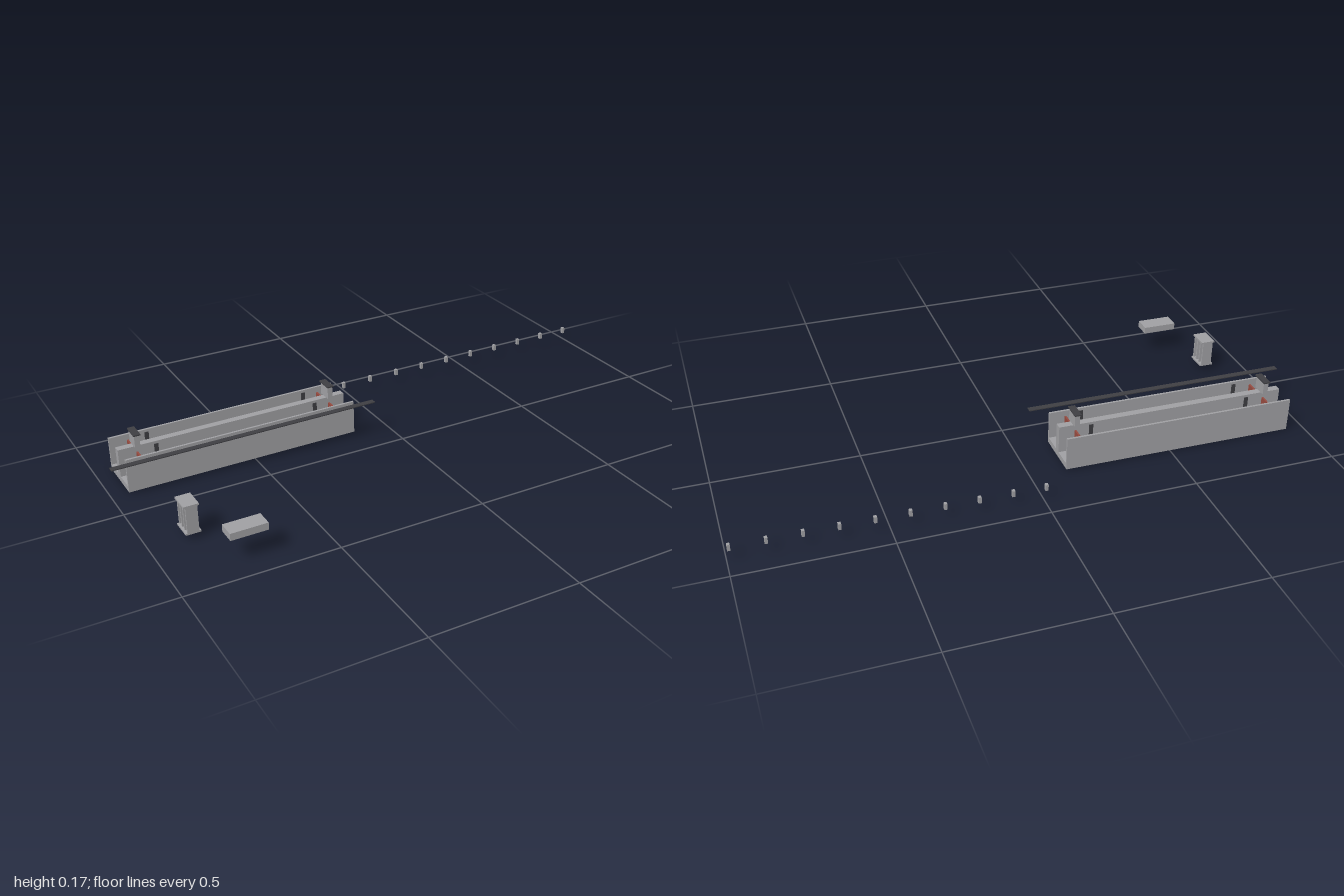
import * as THREE from 'three';

const material = (name, color) => {
  const m = new THREE.MeshStandardMaterial({ color });
  m.name = name;
  return m;
};

export function createModel() {
  const concrete = material('concrete grey', 0x9f9fa2);
  const dark = material('dark metal', 0x3e3e42);
  const red = material('gate red', 0x954a3f);
  const blue = material('water blue', 0x2a628c);

  const model = new THREE.Group();
  model.name = 'canalLock';

  // Box given by its limits on each axis
  const box = (name, mat, [x0, x1], [y0, y1], [z0, z1], parent = model) => {
    const mesh = new THREE.Mesh(new THREE.BoxGeometry(x1 - x0, y1 - y0, z1 - z0), mat);
    mesh.position.set((x0 + x1) / 2, (y0 + y1) / 2, (z0 + z1) / 2);
    mesh.name = name;
    parent.add(mesh);
    return mesh;
  };

  // Lock basin: floor, two outer walls and a centre wall
  const midZ = -0.2105, half = 0.0885, wall = 0.008, core = 0.0125;
  const length = [-0.94, -0.125];
  box('lockFloor', concrete, length, [0, 0.02], [midZ - half, midZ + half]);
  box('centreWall', concrete, length, [0.02, 0.117], [midZ - core, midZ + core]);

  for (const s of [-1, 1]) {
    // Span across z on one side of the centre wall
    const span = (a, b) => (s > 0 ? [midZ + a, midZ + b] : [midZ - b, midZ - a]);
    box('outerWall', concrete, length, [0.02, 0.117], span(half - wall, half));
    box('chamberWater', blue, [-0.81, -0.24], [0.028, 0.034], span(core, half - wall));

    for (const x of [-0.877, -0.183]) {
      // Pair of gate leaves with a narrow gap
      const inner = core, outer = half - wall, mid = (inner + outer) / 2;
      box('gateLeaf', red, [x - 0.003, x + 0.003], [0.02, 0.096], span(inner, mid - 0.001));
      box('gateLeaf', red, [x - 0.003, x + 0.003], [0.02, 0.096], span(mid + 0.001, outer));
    }
    for (const x of [-0.812, -0.238]) {
      // Ladders against the chamber walls
      box('ladder', dark, [x - 0.007, x + 0.007], [0.025, 0.108], span(core, core + 0.003));
      box('ladder', dark, [x - 0.007, x + 0.007], [0.025, 0.108], span(half - wall - 0.003, half - wall));
    }
  }

  // Control towers on the centre wall
  for (const x of [-0.877, -0.183]) {
    box('controlTower', concrete, [x - 0.009, x + 0.009], [0.117, 0.161], [midZ - 0.026, midZ + 0.026]);
    box('towerRoof', dark, [x - 0.012, x + 0.012], [0.161, 0.165], [midZ - 0.032, midZ + 0.032]);
  }

  // Long rail beside the lock
  box('rail', dark, [-1, -0.065], [0.117, 0.12], [-0.098, -0.077]);

  // Open frame standing in front: two slabs joined by four uprights
  const frame = new THREE.Group();
  frame.name = 'openFrame';
  model.add(frame);
  const fx = -0.86, fz = 0.2;
  for (const y of [0.017, 0.11]) {
    box('frameSlab', concrete, [fx - 0.025, fx + 0.025], [y, y + 0.006], [fz - 0.036, fz + 0.036], frame);
  }
  for (const z of [-0.033, -0.011, 0.011, 0.033]) {
    box('frameUpright', concrete, [fx - 0.019, fx + 0.019], [0.023, 0.11], [fz + z - 0.003, fz + z + 0.003], frame);
  }

  // Separate block
  box('block', concrete, [-0.815, -0.693], [0.079, 0.103], [0.36, 0.42]);

  // Row of marker posts
  for (let i = 0; i < 10; i++) {
    const x = -0.013 + i * 0.1114;
    box('markerPost', concrete, [x - 0.005, x + 0.005], [0.02, 0.042], [-0.42, -0.408]);
  }

  // Whole layout rises very slightly towards +x
  model.rotation.z = 0.006;
  model.position.y = 0.0056;
  const root = new THREE.Group();
  root.name = 'lockLayout';
  root.add(model);
  return root;
}
